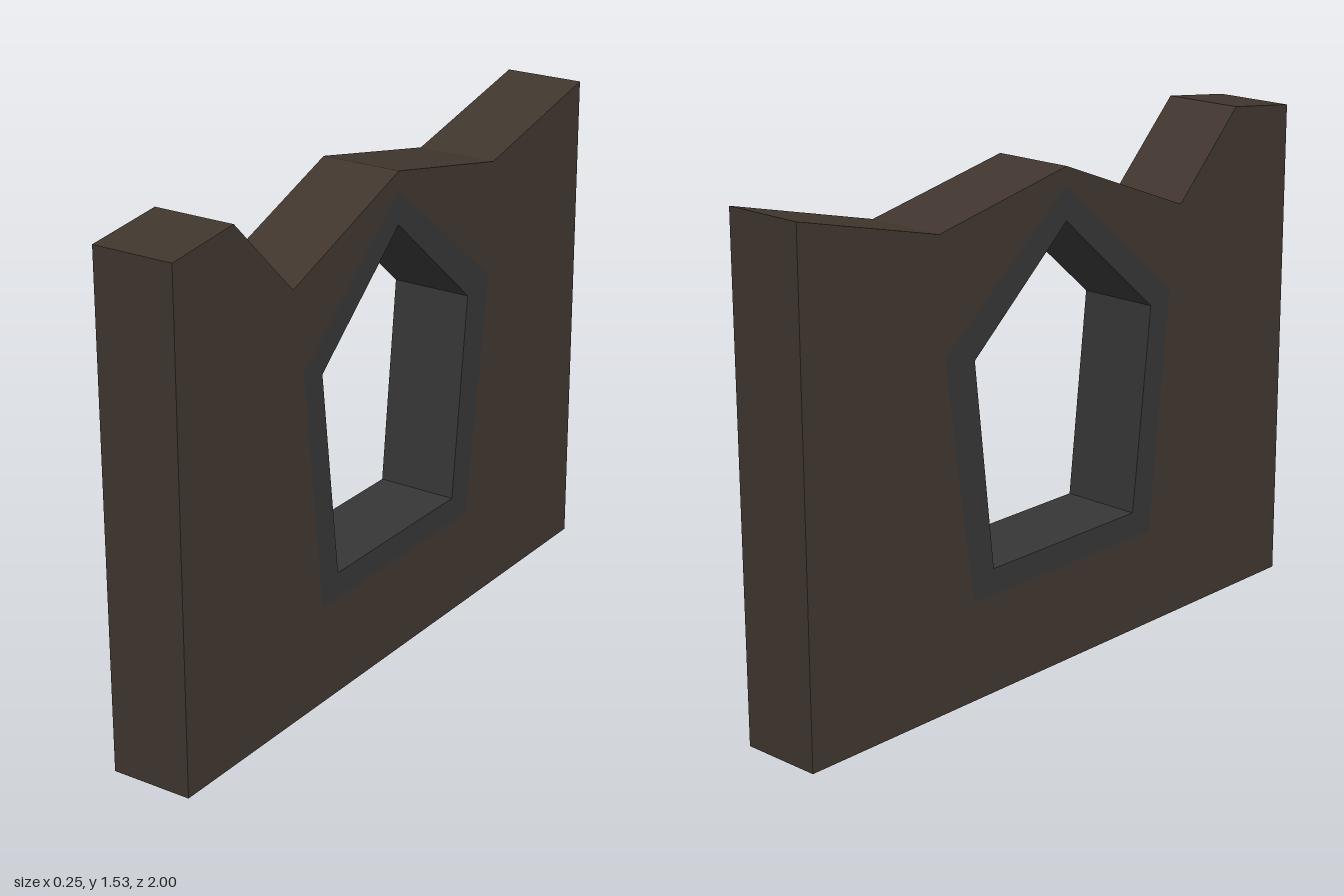
import * as THREE from 'three';

const THICKNESS = 0.25;

// Profiles are given as [z, y] pairs
const wallOutline = [
  [-1, 0], [1, 0], [1, 1.5], [0.75, 1.53], [0.5, 1.28],
  [0, 1.475], [-0.5, 1.375], [-1, 1.5],
];
const frameOuter = [[-0.38, 0.3], [0.375, 0.3], [0.455, 1.03], [0, 1.42], [-0.485, 1.03]];
const frameInner = [[-0.3, 0.377], [0.3, 0.377], [0.37, 1.0], [0, 1.32], [-0.37, 1.0]];

const toPoints = (pairs) => pairs.map(([z, y]) => new THREE.Vector2(z, y));

// Slab with one opening, extruded across x and centred on x = 0
function slab(name, outline, opening, material) {
  const shape = new THREE.Shape(toPoints(outline));
  shape.holes.push(new THREE.Path(toPoints(opening)));
  const geometry = new THREE.ExtrudeGeometry(shape, { depth: THICKNESS, bevelEnabled: false });
  geometry.translate(0, 0, -THICKNESS / 2);
  geometry.rotateY(-Math.PI / 2);
  const mesh = new THREE.Mesh(geometry, material);
  mesh.name = name;
  return mesh;
}

export function createModel() {
  const wallBrown = new THREE.MeshStandardMaterial({ color: 0x40362e });
  wallBrown.name = 'wall brown';
  const frameGrey = new THREE.MeshStandardMaterial({ color: 0x363636 });
  frameGrey.name = 'frame grey';

  const group = new THREE.Group();
  group.name = 'ruinedWall';
  // Broken-topped wall, and the flush window surround that fills its opening
  group.add(slab('wall', wallOutline, frameOuter, wallBrown));
  group.add(slab('windowFrame', frameOuter, frameInner, frameGrey));
  return group;
}
